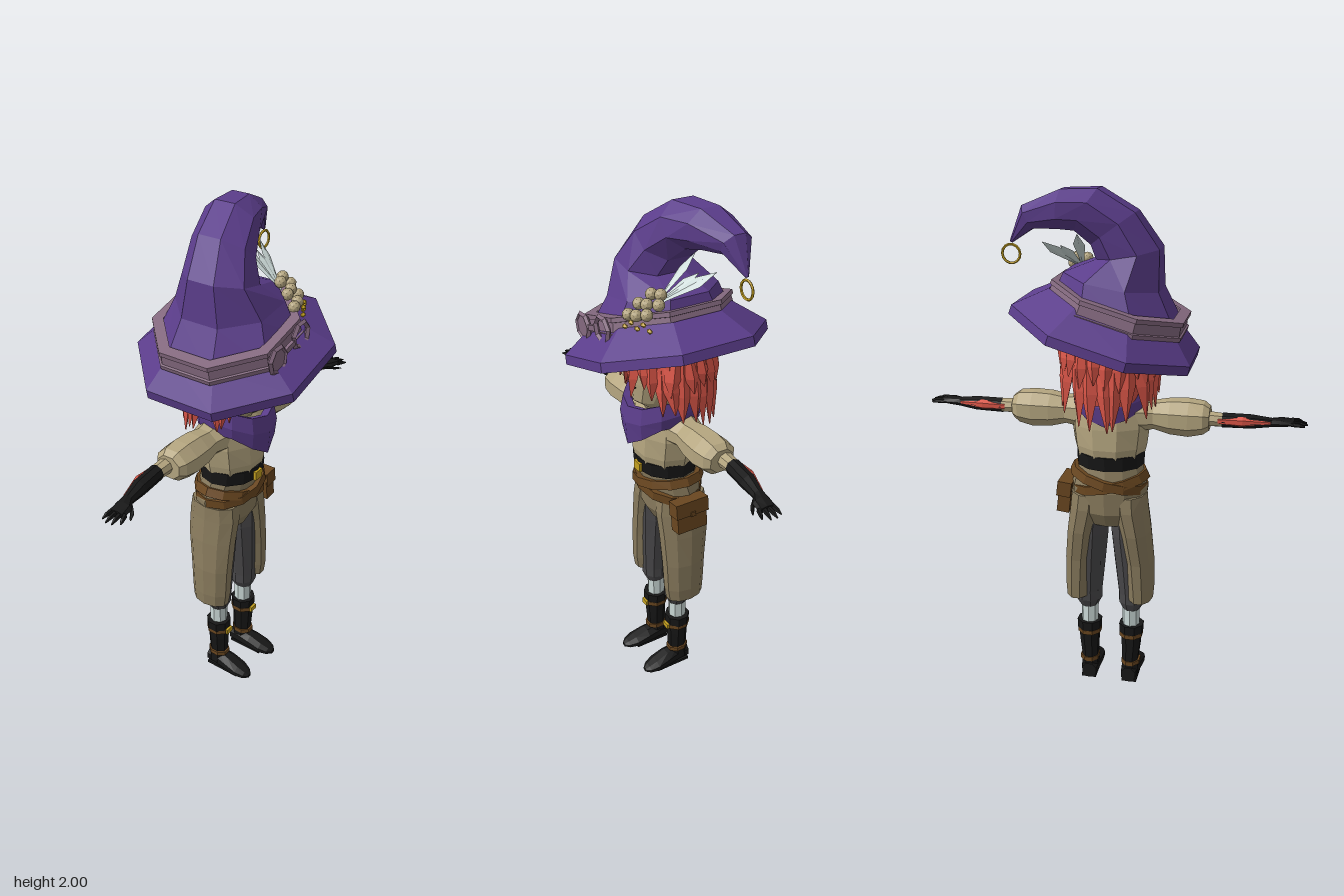
import * as THREE from 'three';

const mat = (name, color, side = THREE.FrontSide) => {
  const m = new THREE.MeshStandardMaterial({ color, flatShading: true, side });
  m.name = name;
  return m;
};
const D = Math.PI / 180;

// Skin a stack of elliptical rings [x, y, z, ru, rv, tilt about z in degrees].
function loft(rings, n = 8, phase = 0, cap = true) {
  const pts = rings.map(([x, y, z, ru, rv, a = 0]) => Array.from({ length: n }, (_, i) => {
    const t = (i / n) * Math.PI * 2 + phase, u = ru * Math.cos(t);
    return [x + u * Math.cos(a * D), y + u * Math.sin(a * D), z + rv * Math.sin(t)];
  }));
  const out = [];
  const tri = (...p) => p.forEach((q) => out.push(...q));
  for (let j = 0; j < rings.length - 1; j++) for (let i = 0; i < n; i++) {
    const k = (i + 1) % n, p = pts[j], q = pts[j + 1];
    tri(p[i], q[i], q[k]);
    tri(p[i], q[k], p[k]);
  }
  if (cap) for (let i = 0; i < n; i++) {
    const k = (i + 1) % n, e = rings.length - 1;
    tri(rings[0].slice(0, 3), pts[0][i], pts[0][k]);
    tri(rings[e].slice(0, 3), pts[e][k], pts[e][i]);
  }
  const g = new THREE.BufferGeometry();
  g.setAttribute('position', new THREE.Float32BufferAttribute(out, 3));
  g.computeVertexNormals();
  return g;
}

// Rings stacked along a tilted axis: profile rows are [height, ru, rv].
const band = (x, y, z, a, profile, n = 8, phase = Math.PI / 8) => loft(profile.map(([h, ru, rv]) =>
  [x - h * Math.sin(a * D), y + h * Math.cos(a * D), z, ru, rv, a]), n, phase, false);

// Mirror across x, keeping the faces outward.
function mirror(geo) {
  const g = geo.index ? geo.toNonIndexed() : geo.clone(), p = g.attributes.position;
  for (let i = 0; i < p.count; i += 3) {
    const v = [0, 2, 1].map((k) => [-p.getX(i + k), p.getY(i + k), p.getZ(i + k)]);
    v.forEach((q, k) => p.setXYZ(i + k, ...q));
  }
  g.computeVertexNormals();
  return g;
}

export function createModel() {
  const root = new THREE.Group();
  root.name = 'character';
  const purple = mat('purple cloth', 0x5b3d8b, THREE.DoubleSide), mauve = mat('mauve strap', 0x84697f, THREE.DoubleSide);
  const red = mat('red', 0xdb5648), linen = mat('linen and skin', 0xb5a680);
  const khaki = mat('khaki cloth', 0x8a7c5e), charcoal = mat('charcoal cloth', 0x4a494b);
  const black = mat('black leather', 0x171717), brown = mat('brown leather', 0x6a4720, THREE.DoubleSide);
  const white = mat('pale white', 0xcddbd9, THREE.DoubleSide), gold = mat('gold', 0xc4a01f);

  const add = (name, geo, m) => {
    const mesh = new THREE.Mesh(geo, m);
    mesh.name = name;
    root.add(mesh);
    return mesh;
  };
  const pair = (name, geo, m) => {
    add(name + 'Left', geo, m);
    add(name + 'Right', mirror(geo), m);
  };
  const box = (w, h, d, x, y, z, rz = 0) => new THREE.BoxGeometry(w, h, d).rotateZ(rz).translate(x, y, z);

  // Hat: tilted octagonal brim, hooked crown and strap
  add('hatBrim', band(-0.01, 1.565, 0, 16.5, [[0, .25, .25], [-0.105, .368, .37], [-0.07, .366, .368], [.02, .25, .25]]), purple);
  add('hatCrown', loft([
    [-0.035, 1.555, 0, .255, .26, 16], [-0.015, 1.675, 0, .19, .2, 10], [-0.07, 1.77, .005, .125, .14, -10],
    [-0.02, 1.86, -0.02, .105, .12, -36], [.07, 1.925, -0.05, .09, .11, -60], [.16, 1.927, -0.075, .073, .095, -86],
    [.27, 1.9, -0.1, .047, .06, -117], [.338, 1.81, -0.1, .006, .006, -150]], 8, Math.PI / 8, false), purple);
  add('hatBand', band(-0.035, 1.582, 0, 16, [[-0.035, .25, .25], [-0.035, .276, .276], [-0.02, .276, .276], [-0.018, .268, .268],
    [.016, .262, .262], [.018, .27, .27], [.034, .268, .268], [.034, .225, .225]]), mauve);
  [-0.11, .03].forEach((x, i) => {
    const y = 1.578 + .287 * (x + .035);
    add('goggleRim', new THREE.TorusGeometry(.046, .01, 4, 7).rotateZ(16 * D).translate(x, y, .268), mauve);
    if (!i) add('goggleLens', new THREE.CylinderGeometry(.042, .042, .016, 7).rotateX(Math.PI / 2).translate(x, y, .264), mauve);
  });
  add('goggleBridge', box(.06, .02, .012, -0.04, 1.577, .268, 16 * D), mauve);
  add('tipRing', new THREE.TorusGeometry(.033, .005, 5, 14).translate(.34, 1.768, -0.1), gold);

  // Berries, sprig and feathers on the hat
  [[.09, 1.66, .2], [.125, 1.665, .19], [.16, 1.675, .17], [.1, 1.695, .165], [.135, 1.7, .155], [.17, 1.705, .13],
    [.115, 1.725, .125], [.15, 1.73, .11]].forEach((p) =>
    add('berry', new THREE.IcosahedronGeometry(.022, 1).translate(...p), linen));
  for (let i = 0; i < 5; i++) {
    add('sprigLeaf', new THREE.OctahedronGeometry(.013).scale(1.3, .8, .8).translate(.11 + i * .02, 1.63 + (i % 2) * .018, .225 - i * .012), gold);
  }
  [[.112, 1.835, -0.05], [.24, 1.805, -0.05], [.18, 1.79, -0.02]].forEach((tip, i) => {
    const from = new THREE.Vector3(.13, 1.69, .12), dir = new THREE.Vector3(...tip).sub(from), L = dir.length();
    const g = loft([[0, 0, 0, .004, .003], [0, L * .35, 0, .012, .004], [0, L * .7, 0, .022, .005], [0, L, 0, .001, .001]], 4);
    g.applyQuaternion(new THREE.Quaternion().setFromUnitVectors(new THREE.Vector3(0, 1, 0), dir.normalize()));
    add('feather', g.translate(from.x, from.y, from.z), white);
  });

  // Head
  add('head', loft([[0, 1.15, 0, .05, .05], [0, 1.24, .03, .055, .06], [0, 1.275, .045, .075, .09], [0, 1.35, .02, .115, .122],
    [0, 1.45, 0, .135, .145], [0, 1.56, 0, .1, .11]], 12), linen);
  add('nose', new THREE.ConeGeometry(.014, .04, 4).translate(0, 1.375, .143), linen);
  add('mouth', box(.035, .005, .006, 0, 1.333, .137), black);

  // Hair: back mass plus layered pointed locks
  add('hairBack', loft([[0, 1.23, -0.08, .1, .055], [0, 1.33, -0.06, .15, .09], [0, 1.47, -0.02, .16, .14],
    [0, 1.56, 0, .125, .13], [0, 1.61, 0, .05, .05]], 10), red);
  let seed = 7;
  const rnd = () => (seed = (seed * 16807) % 2147483647) / 2147483647;
  const lock = (deg, tipY, r, w) => {
    const lean = (rnd() - .5) * .06;
    add('hairLock', loft([[lean, tipY, r + .01, .002, .002], [lean * .6, tipY * .6 + 1.5 * .4, r, w * .75, .02],
      [0, 1.48, r - .02, w, .025], [0, 1.58, r - .07, w * .7, .02]], 4).rotateY(deg * D), red);
  };
  for (let i = 0; i < 15; i++) {
    const deg = 62 + i * 16.85, back = Math.max(0, -Math.cos(deg * D));
    lock(deg, 1.27 - .08 * back - rnd() * .05, .172, .045);
    lock(deg + 8, 1.33 - .04 * back + rnd() * .05, .178, .04);
  }
  [[-54, 1.27], [-40, 1.33], [-26, 1.37], [-13, 1.385], [0, 1.39], [12, 1.31], [25, 1.36], [39, 1.32], [53, 1.26]].forEach(([d, y]) =>
    lock(d, y, .158, .033));

  // Neck scarf with pointed front and back
  const scarf = loft([[0, 1.2, .02, .145, .145], [0, 1.25, .02, .152, .152], [0, 1.305, .02, .14, .14], [0, 1.28, .02, .1, .11]], 12, 0, false);
  const sp = scarf.attributes.position;
  for (let i = 0; i < sp.count; i++) {
    const y = sp.getY(i), s = (sp.getZ(i) - .02) / .15, low = y < 1.22;
    sp.setY(i, y - (low ? (s > 0 ? .115 : .06) * s ** 4 : s > 0 ? .055 * s * s : .03 * s * s));
  }
  scarf.computeVertexNormals();
  add('scarf', scarf, purple);

  // Shirt, puffed sleeves and forearms
  add('shirt', loft([[0, .98, 0, .125, .11], [0, 1.05, 0, .142, .125], [0, 1.13, 0, .152, .122], [0, 1.2, 0, .14, .112], [0, 1.26, 0, .07, .07]], 10), linen);
  pair('sleeve', loft([[.08, 1.17, 0, .07, .085, -90], [.17, 1.17, 0, .055, .062, -90], [.23, 1.168, 0, .069, .073, -90],
    [.3, 1.167, 0, .073, .076, -90], [.355, 1.17, 0, .063, .07, -90], [.378, 1.17, 0, .046, .052, -90]], 8, Math.PI / 8), linen);
  pair('forearm', loft([[.36, 1.172, -0.012, .03, .032, -90], [.44, 1.17, -0.012, .026, .028, -90]], 8), linen);

  // Gloves with red guards, palms and fingers
  pair('glove', loft([[.425, 1.17, -0.012, .029, .031, -90], [.53, 1.168, -0.002, .028, .032, -90], [.605, 1.165, .012, .018, .022, -90],
    [.64, 1.165, .026, .016, .034, -90], [.685, 1.163, .034, .011, .034, -90]], 8), black);
  pair('armGuard', loft([[.41, 1.172, -0.026, .014, .018, -90], [.5, 1.172, -0.027, .019, .018, -90], [.6, 1.168, -0.005, .006, .008, -90]], 6), red);
  for (let i = 0; i < 4; i++) {
    const z = .008 + i * .018, L = [.045, .056, .052, .035][i];
    pair('finger' + (i + 1), loft([[.675, 1.163, z, .009, .009, -90], [.68 + L * .6, 1.161, z + i * .003, .008, .008, -90],
      [.68 + L, 1.157, z + i * .005, .003, .003, -90]], 5), black);
  }
  pair('thumb', loft([[.62, 1.16, .035, .011, .011, -60], [.645, 1.155, .065, .009, .009, -60], [.67, 1.15, .08, .004, .004, -60]], 5), black);

  // Waist belt, hip belts and pouch
  add('waistBelt', loft([[0, .967, 0, .132, .117], [0, 1.022, 0, .134, .122]], 12), black);
  add('beltBuckle', box(.042, .036, .012, 0, .988, .122), gold);
  [[-13, .9], [13, .915]].forEach(([a, y], i) => add('hipBelt' + (i + 1),
    band(0, y, -0.01, a, [[-0.017, .13, .1], [-0.017, .158, .13 + i * .004], [.017, .15, .127 + i * .004], [.017, .12, .1]], 12, 0), brown));
  add('pouch', box(.05, .125, .13, .172, .825, 0, .12), brown);
  add('pouchFlap', box(.056, .06, .142, .172, .86, 0, .12), brown);
  add('pouchClasp', box(.008, .018, .02, .204, .84, 0, .12), brown);

  // Trousers: khaki outer panels over charcoal legs
  add('hips', loft([[0, .73, -0.02, .09, .075], [0, .79, -0.02, .148, .108], [0, .88, -0.02, .15, .112], [0, .98, 0, .125, .108]], 12), khaki);
  pair('innerLeg', loft([[.088, .335, -0.005, .036, .04], [.09, .37, -0.005, .056, .055], [.09, .41, -0.005, .056, .058],
    [.085, .55, -0.01, .066, .07], [.076, .68, -0.015, .07, .08], [.07, .78, -0.015, .065, .08]], 10), charcoal);
  pair('outerLeg', loft([[.127, .395, -0.012, .05, .08], [.126, .45, -0.01, .055, .086], [.12, .57, -0.012, .06, .092],
    [.104, .7, -0.02, .064, .104], [.085, .8, -0.02, .07, .108], [.08, .86, -0.02, .07, .1]], 10), khaki);

  // Socks and boots
  pair('sock', loft([[.086, .22, -0.005, .035, .036], [.086, .36, -0.005, .036, .036]], 8), white);
  pair('bootShaft', loft([[.085, .03, -0.008, .038, .042], [.085, .09, -0.006, .034, .04], [.088, .17, -0.004, .041, .043],
    [.088, .215, -0.004, .044, .046], [.088, .222, -0.004, .05, .05], [.088, .262, -0.004, .052, .051]], 8, Math.PI / 8), black);
  pair('bootFoot', loft([[.083, -0.05, -0.034, .032, .034], [.083, 0, -0.04, .038, .04], [.085, .05, -0.034, .042, .034],
    [.088, .105, -0.024, .042, .024], [.09, .14, -0.018, .03, .016], [.09, .157, -0.015, .012, .008]], 8, Math.PI / 8).rotateX(Math.PI / 2), black);
  pair('bootSole', box(.06, .012, .15, .086, .006, .03), black);
  [[.215, .05, .052], [.085, .04, .046]].forEach(([y, r, rz]) => {
    pair('bootStrap', loft([[.087, y - .009, -0.004, r, rz], [.087, y + .009, -0.004, r, rz]], 8, Math.PI / 8), brown);
  });
  pair('bootBuckle', box(.034, .022, .01, .087, .216, .048), gold);
  return root;
}
